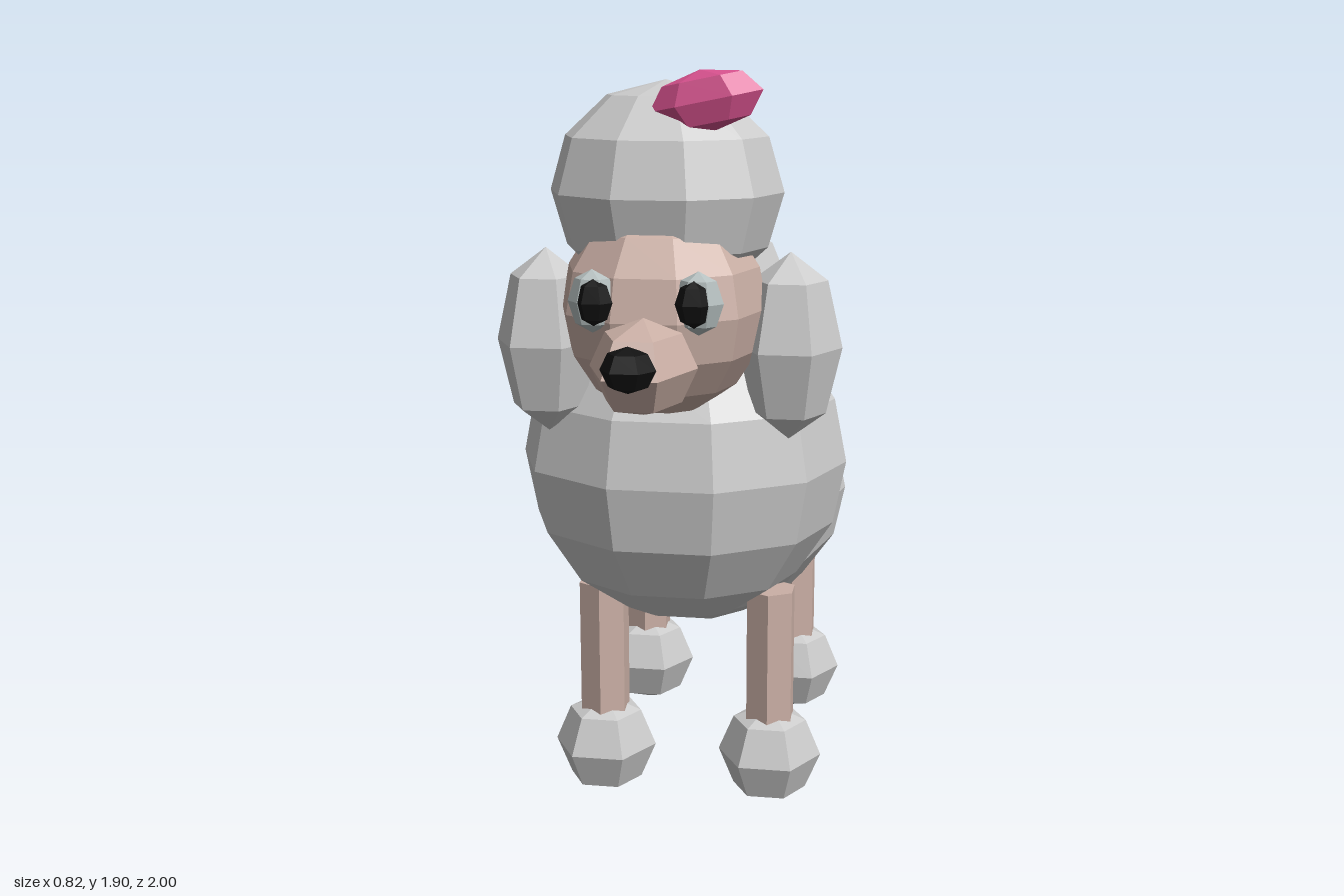
import * as THREE from 'three';

const paint = (color) => new THREE.MeshStandardMaterial({ color, flatShading: true });

export function createModel() {
  const group = new THREE.Group();
  const fur = paint(0xcccccc);
  const skin = paint(0xcbb0a6);
  const black = paint(0x111111);
  const eyeWhite = paint(0xb4bebe);
  const pink = paint(0xd4508c);

  // Low-poly ellipsoid: centre, radii, number of sides and rows
  function blob(name, material, centre, radii, sides = 6, rows = 4) {
    const mesh = new THREE.Mesh(new THREE.SphereGeometry(1, sides, rows), material);
    mesh.name = name;
    mesh.position.set(...centre);
    mesh.scale.set(...radii);
    group.add(mesh);
    return mesh;
  }

  // Six-sided rod between two points
  function rod(name, from, to, radius) {
    const a = new THREE.Vector3(...from);
    const b = new THREE.Vector3(...to);
    const mesh = new THREE.Mesh(new THREE.CylinderGeometry(radius, radius, a.distanceTo(b), 6), skin);
    mesh.name = name;
    mesh.position.copy(a).add(b).multiplyScalar(0.5);
    mesh.quaternion.setFromUnitVectors(new THREE.Vector3(0, 1, 0), b.sub(a).normalize());
    group.add(mesh);
  }

  // Body and chest
  blob('body', fur, [0, 0.775, -0.13], [0.385, 0.355, 0.555], 10, 8);
  blob('chest', fur, [0, 0.945, 0.25], [0.41, 0.415, 0.363], 10, 8);

  // Head, topknot, snout and nose
  blob('head', skin, [0, 1.37, 0.525], [0.24, 0.25, 0.267], 10, 8);
  blob('topknot', fur, [0, 1.63, 0.482], [0.272, 0.25, 0.245], 10, 6);
  blob('snout', skin, [0, 1.278, 0.78], [0.12, 0.107, 0.19]);
  blob('nose', black, [0, 1.305, 0.955], [0.06, 0.05, 0.052]);

  // Bow on the topknot
  blob('bow', pink, [0.112, 1.838, 0.618], [0.128, 0.068, 0.047]).rotation.z = 0.2;

  for (const [label, s] of [['left', 1], ['right', -1]]) {
    // Ears and eyes
    blob(label + 'Ear', fur, [s * 0.288, 1.275, 0.478], [0.122, 0.22, 0.135]);
    blob(label + 'Eye', eyeWhite, [s * 0.117, 1.415, 0.755], [0.055, 0.07, 0.037]);
    blob(label + 'Pupil', black, [s * 0.11, 1.415, 0.775], [0.042, 0.052, 0.032]);

    // Legs with round paws
    for (const [end, z] of [['Front', 0.2], ['Hind', -0.435]]) {
      rod(label + end + 'Leg', [s * 0.22, 0.15, z], [s * 0.22, 0.587, z], 0.067);
      blob(label + end + 'Paw', fur, [s * 0.22, 0.133, z], [0.135, 0.133, 0.135]);
    }
  }

  // Tail with pompom
  rod('tail', [0, 0.92, -0.63], [0, 1.23, -0.865], 0.05);
  blob('tailPompom', fur, [0, 1.25, -0.883], [0.135, 0.135, 0.135]);

  return group;
}
